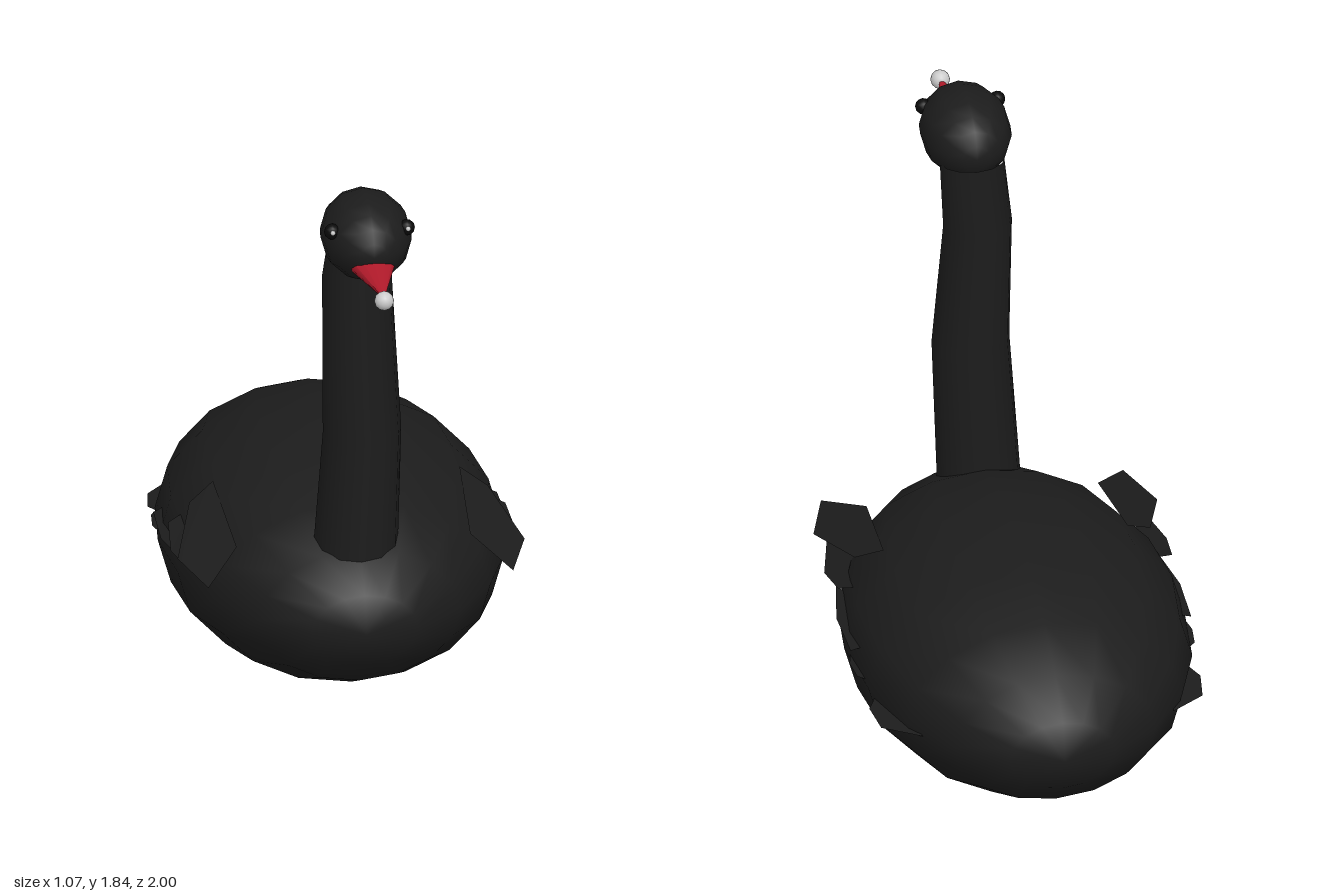
import * as THREE from 'three';

const mat = (name, color, side = THREE.FrontSide) =>
  Object.assign(new THREE.MeshStandardMaterial({ color, side }), { name });

export function createModel() {
  const black = mat('black plumage', 0x1c1c1c);
  const wing = mat('wing plumage', 0x1c1c1c, THREE.DoubleSide);
  const red = mat('red bill', 0xb01a2a);
  const pale = mat('pale bill tip', 0xcccccc);
  const eyeBlack = mat('eye black', 0x0a0a0a);

  const model = new THREE.Group();
  const add = (name, geometry, material) => {
    const mesh = new THREE.Mesh(geometry, material);
    mesh.name = name;
    model.add(mesh);
    return mesh;
  };
  // Ellipsoid with its poles along z
  const ellipsoid = (name, material, [x, y, z], [rx, ry, rz], w, h) =>
    add(name, new THREE.SphereGeometry(1, w, h).rotateX(Math.PI / 2)
      .scale(rx, ry, rz).translate(x, y, z), material);

  ellipsoid('body', black, [0, 0.375, -0.2], [0.53, 0.37, 0.8], 16, 10);
  ellipsoid('head', black, [0, 1.705, 0.575], [0.14, 0.135, 0.19], 12, 10);

  // Neck: level elliptical rings joined in three straight stretches
  const rings = [ // y, z, radius across, radius front to back
    [0.5, 0.334, 0.132, 0.125],
    [1.015, 0.495, 0.121, 0.11],
    [1.49, 0.383, 0.107, 0.098],
    [1.66, 0.47, 0.1, 0.078],
  ];
  for (let i = 0; i < rings.length - 1; i++) {
    const geometry = new THREE.CylinderGeometry(1, 1, 1, 12, 1, true);
    const p = geometry.attributes.position;
    for (let k = 0; k < p.count; k++) {
      const [y, z, rx, rz] = rings[p.getY(k) > 0 ? i + 1 : i];
      p.setXYZ(k, p.getX(k) * rx, y, z + p.getZ(k) * rz);
    }
    // Normals stay radial so the seam is smooth
    add('neck' + (i + 1), geometry, black);
  }

  // Bill, a flattened cone with a pale bead on its tip
  add('bill', new THREE.ConeGeometry(1, 1, 12).rotateX(Math.PI / 2)
    .scale(0.077, 0.037, 0.28).translate(0, 1.66, 0.83), red);
  ellipsoid('billTip', pale, [0, 1.655, 0.97], [0.03, 0.03, 0.03], 12, 10);

  // Feathers of the left wing: corners in order around each thin plate
  const feathers = [
    [[0.38, 0.625, -0.06], [0.36, 0.565, 0.31], [0.47, 0.505, 0.47], [0.535, 0.515, 0.26], [0.46, 0.58, -0.01]],
    [[0.42, 0.53, -0.11], [0.44, 0.51, 0.12], [0.485, 0.475, 0.3], [0.533, 0.47, 0.1], [0.52, 0.5, -0.05]],
    [[0.44, 0.46, -0.32], [0.45, 0.45, -0.1], [0.5, 0.435, 0.08], [0.535, 0.425, -0.1], [0.53, 0.425, -0.3]],
    [[0.44, 0.4, -0.5], [0.46, 0.4, -0.3], [0.5, 0.39, -0.15], [0.533, 0.38, -0.3], [0.525, 0.38, -0.38]],
    [[0.39, 0.355, -0.73], [0.42, 0.355, -0.55], [0.49, 0.35, -0.47], [0.515, 0.345, -0.52], [0.5, 0.34, -0.63]],
  ];

  for (const [side, s] of [['left', 1], ['right', -1]]) {
    feathers.forEach((corners, i) => {
      const geometry = new THREE.BufferGeometry();
      geometry.setAttribute('position', new THREE.Float32BufferAttribute(
        corners.flatMap(([x, y, z]) => [s * x, y, z]), 3));
      // Mirrored plates reverse their corner order so they face upward
      geometry.setIndex([1, 2, 3].flatMap(k => s > 0 ? [0, k, k + 1] : [0, k + 1, k]));
      geometry.computeVertexNormals();
      add(side + 'WingFeather' + (i + 1), geometry, wing);
    });
    ellipsoid(side + 'Eye', eyeBlack, [s * 0.115, 1.755, 0.655], [0.025, 0.025, 0.025], 12, 8);
    ellipsoid(side + 'EyeGlint', pale, [s * 0.116, 1.76, 0.678], [0.008, 0.008, 0.008], 8, 6);
  }
  return model;
}
